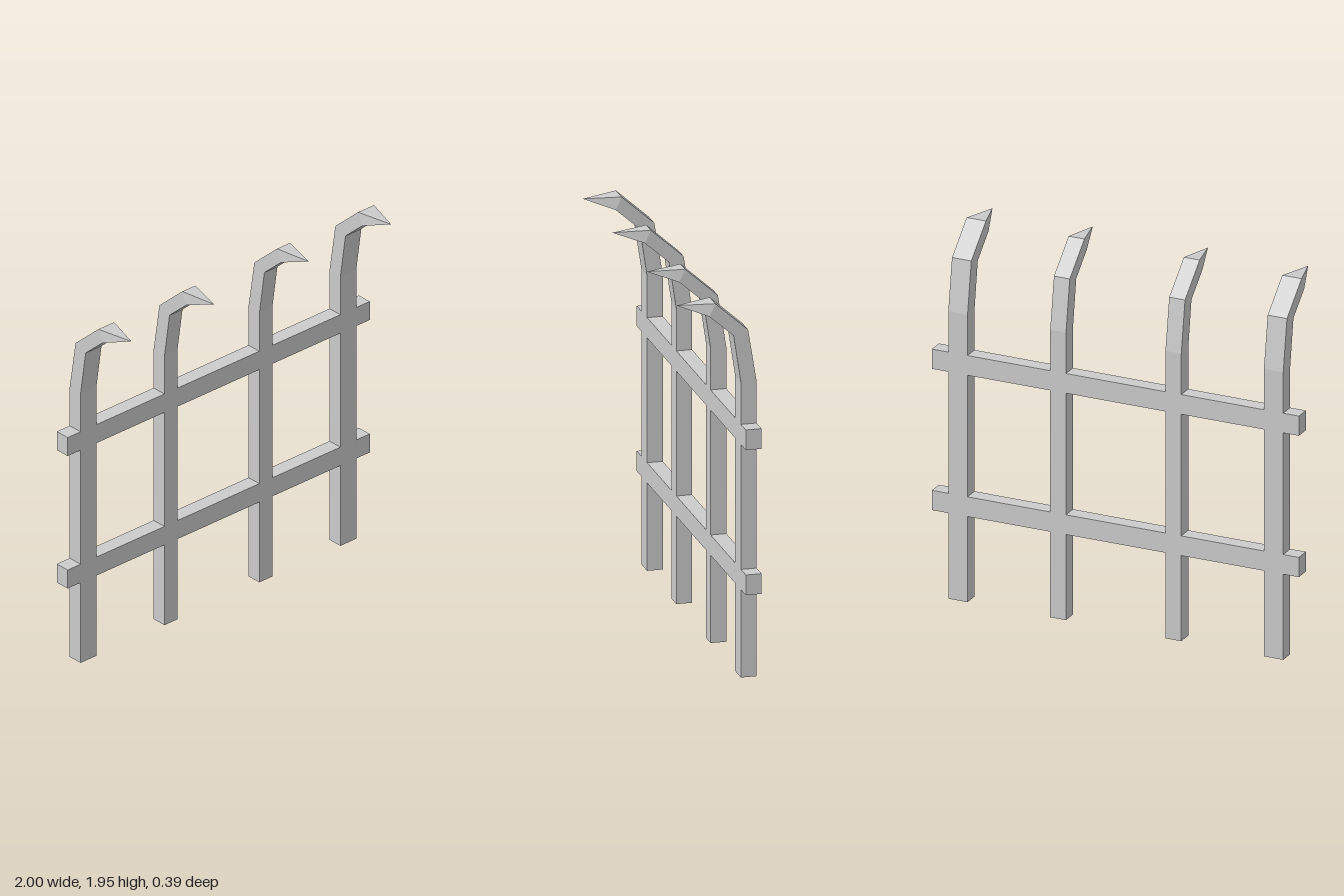
import * as THREE from 'three';

const material = new THREE.MeshStandardMaterial({ color: 0xcccccc, flatShading: true, side: THREE.DoubleSide });

// Side profile of a post, bottom to top: [front z, front y, back z, back y]
const profile = [
  [-0.12, 0, -0.2, 0],
  [-0.12, 1.53, -0.2, 1.53],
  [-0.083, 1.775, -0.157, 1.8],
  [0.04, 1.885, 0.01, 1.95],
];
const tip = [0, 1.94, 0.195];

// Hollow four-sided post, open at the foot, bent forward into a spike
function postGeometry(width) {
  const h = width / 2;
  const rings = profile.map(([fz, fy, bz, by]) => [
    [h, fy, fz], [h, by, bz], [-h, by, bz], [-h, fy, fz],
  ]);
  const points = [];
  rings.forEach((ring, i) => {
    const next = rings[i + 1];
    for (let j = 0; j < 4; j++) {
      const k = (j + 1) % 4;
      if (next) points.push(ring[j], ring[k], next[k], ring[j], next[k], next[j]);
      else points.push(ring[j], ring[k], tip);
    }
  });
  const geometry = new THREE.BufferGeometry();
  geometry.setAttribute('position', new THREE.Float32BufferAttribute(points.flat(), 3));
  geometry.computeVertexNormals();
  return geometry;
}

export function createModel() {
  const group = new THREE.Group();
  group.name = 'spikedFence';

  // Two wide outer posts and two narrower inner posts
  const posts = [
    ['outerPostRight', -0.862, 0.105],
    ['innerPostRight', -0.316, 0.086],
    ['innerPostLeft', 0.312, 0.086],
    ['outerPostLeft', 0.858, 0.105],
  ];
  for (const [name, x, width] of posts) {
    const post = new THREE.Mesh(postGeometry(width), material);
    post.name = name;
    post.position.x = x;
    group.add(post);
  }

  // Horizontal rails, flush with the posts
  for (const [name, y] of [['lowerRail', 0.508], ['upperRail', 1.26]]) {
    const rail = new THREE.Mesh(new THREE.BoxGeometry(2, 0.105, 0.08), material);
    rail.name = name;
    rail.position.set(0, y, -0.16);
    group.add(rail);
  }
  return group;
}
